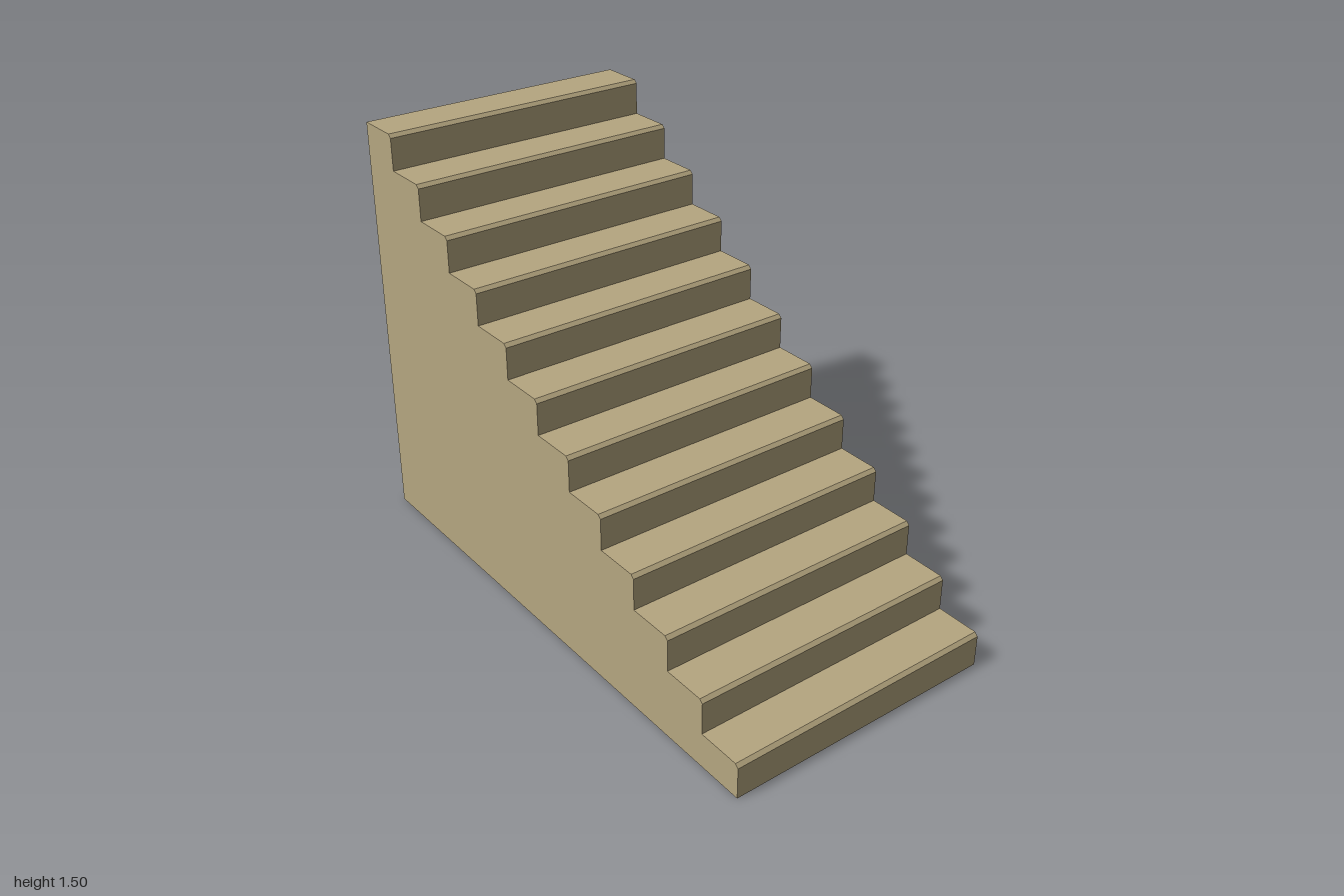
import * as THREE from 'three';

const STEPS = 12, WIDTH = 1, LENGTH = 2, HEIGHT = 1.5, CHAMFER = 0.012;

export function createModel() {
  const group = new THREE.Group();
  group.name = 'staircase';

  const sandstone = new THREE.MeshStandardMaterial({ color: 0xb5a680 });
  sandstone.name = 'sandstone';

  // Side profile: horizontal axis runs from front to back, each nosing chamfered
  const run = LENGTH / STEPS, rise = HEIGHT / STEPS;
  const profile = new THREE.Shape();
  profile.moveTo(LENGTH / 2, 0);
  profile.lineTo(LENGTH / 2, HEIGHT);
  for (let i = STEPS - 1; i >= 0; i--) {
    const front = -LENGTH / 2 + i * run, top = (i + 1) * rise;
    profile.lineTo(front + CHAMFER, top);
    profile.lineTo(front, top - CHAMFER);
    profile.lineTo(front, i * rise);
  }
  profile.closePath();

  // Solid flight, extruded across the width
  const geometry = new THREE.ExtrudeGeometry(profile, { depth: WIDTH, bevelEnabled: false });
  geometry.rotateY(Math.PI / 2);
  geometry.translate(-WIDTH / 2, 0, 0);

  const stairs = new THREE.Mesh(geometry, sandstone);
  stairs.name = 'stairFlight';
  group.add(stairs);
  return group;
}
